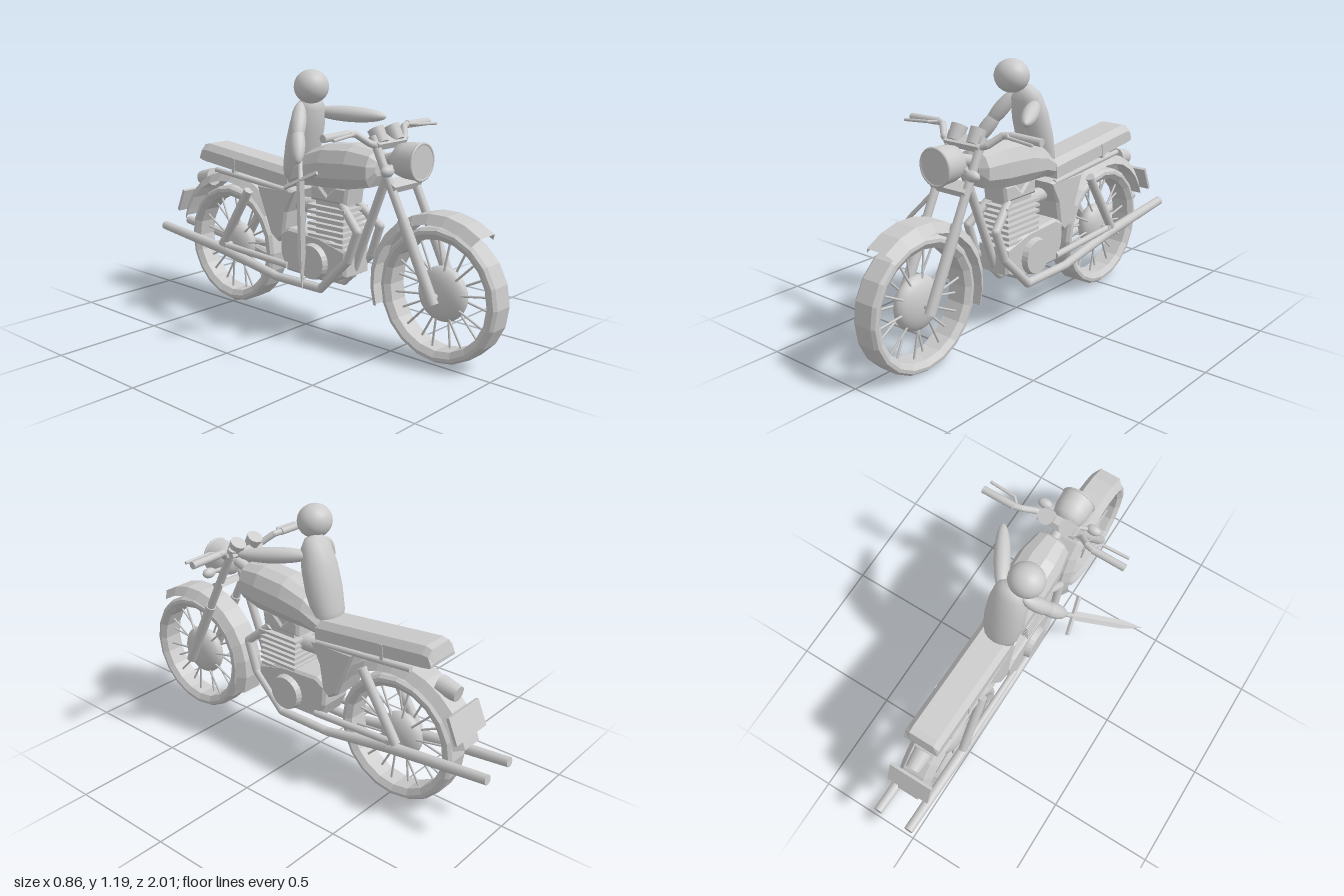
import * as THREE from 'three';

const flat = new THREE.MeshStandardMaterial({ color: 0xcccccc, flatShading: true, side: THREE.DoubleSide });
const smooth = new THREE.MeshStandardMaterial({ color: 0xcccccc, side: THREE.DoubleSide });
const V = (x, y, z) => new THREE.Vector3(x, y, z);
const UP = V(0, 1, 0);

function add(parent, name, geo, mat = flat, pos = [0, 0, 0], rot = [0, 0, 0]) {
  const m = new THREE.Mesh(geo, mat);
  m.name = name;
  m.position.set(...pos);
  m.rotation.set(...rot);
  parent.add(m);
  return m;
}

// Stand a y-aligned mesh between two points
function between(m, a, b) {
  m.position.copy(a).lerp(b, 0.5);
  m.quaternion.setFromUnitVectors(UP, b.clone().sub(a).normalize());
  return m;
}
const rod = (parent, name, a, b, r, r2 = r) =>
  between(add(parent, name, new THREE.CylinderGeometry(r2, r, a.distanceTo(b), 12), smooth), a, b);
function ellipsoid(parent, name, a, b, r) {
  const m = between(add(parent, name, new THREE.SphereGeometry(1, 20, 14), smooth), a, b);
  m.scale.set(r, a.distanceTo(b) / 2, r);
  return m;
}
function pipe(parent, name, pts, r) {
  const path = new THREE.CurvePath();
  for (let i = 1; i < pts.length; i++) path.add(new THREE.LineCurve3(pts[i - 1], pts[i]));
  pts.slice(1, -1).forEach((p) => add(parent, name + 'Bend', new THREE.SphereGeometry(r, 12, 8), smooth, p.toArray()));
  path.curves.forEach((c) => rod(parent, name, c.v1, c.v2, r));
}

// Skin a row of cross-sections; closed sections also get end caps
function loft(sections, closed = true) {
  const n = sections[0].length, idx = [], last = (sections.length - 1) * n;
  for (let s = 0; s < sections.length - 1; s++)
    for (let i = 0; i < (closed ? n : n - 1); i++) {
      const a = s * n + i, b = s * n + ((i + 1) % n);
      idx.push(a, b, a + n, b, b + n, a + n);
    }
  if (closed) for (let i = 1; i < n - 1; i++) idx.push(0, i + 1, i, last, last + i, last + i + 1);
  const g = new THREE.BufferGeometry();
  g.setAttribute('position', new THREE.Float32BufferAttribute(sections.flat(2), 3));
  g.setIndex(idx);
  g.computeVertexNormals();
  return g;
}

// Side outline in (z, y), given a width across x
function slab(pts, width, bevel = 0.012) {
  const g = new THREE.ExtrudeGeometry(new THREE.Shape(pts.map(([z, y]) => new THREE.Vector2(-z, y))), {
    depth: width - 2 * bevel, bevelThickness: bevel, bevelSize: bevel, bevelOffset: -bevel, bevelSegments: 1,
  });
  return g.translate(0, 0, -width / 2 + bevel).rotateY(Math.PI / 2);
}

function wheel(parent, name, z, hubR) {
  const g = new THREE.Group();
  g.name = name;
  g.position.set(0, 0.292, z);
  parent.add(g);
  const profile = [[0.24, -0.045], [0.265, -0.062], [0.28, -0.06], [0.291, -0.045], [0.291, 0.045],
    [0.28, 0.06], [0.265, 0.062], [0.24, 0.045], [0.24, -0.045]].map((p) => new THREE.Vector2(...p));
  add(g, 'tyre', new THREE.LatheGeometry(profile, 20), flat, [0, 0, 0], [0, 0, -Math.PI / 2]);
  add(g, 'hub', new THREE.SphereGeometry(hubR, 24, 12), smooth).scale.x = 0.055 / hubR;
  rod(g, 'axle', V(-0.1, 0, 0), V(0.1, 0, 0), 0.013);
  for (let i = 0; i < 20; i++) {
    const a = (i + 0.5) * Math.PI / 10, s = i % 2 ? 0.022 : -0.022;
    rod(g, 'spoke', V(s, 0.08 * Math.sin(a), 0.08 * Math.cos(a)), V(s / 2, 0.245 * Math.sin(a), 0.245 * Math.cos(a)), 0.005);
  }
}

function fender(parent, name, z, r, from, to) {
  const rows = [];
  for (let i = 0; i <= 10; i++) {
    const a = THREE.MathUtils.degToRad(from + (to - from) * i / 10);
    rows.push([[-0.08, r - 0.04], [-0.052, r], [0.052, r], [0.08, r - 0.04]]
      .map(([x, q]) => [x, 0.292 + q * Math.sin(a), z + q * Math.cos(a)]));
  }
  add(parent, name, loft(rows, false));
}

function buildBike(bike) {
  wheel(bike, 'frontWheel', 0.715, 0.12);
  wheel(bike, 'rearWheel', -0.52, 0.105);
  fender(bike, 'frontFender', 0.715, 0.347, 54, 199);
  fender(bike, 'rearFender', -0.52, 0.36, 35, 166);

  // Tank: chamfered sections along z as [z, bottom, top, half width]
  add(bike, 'tank', loft([[0.385, 0.75, 0.82, 0.05], [0.36, 0.70, 0.855, 0.085], [0.25, 0.68, 0.873, 0.105],
    [0.1, 0.67, 0.86, 0.105], [-0.02, 0.665, 0.815, 0.095], [-0.11, 0.65, 0.74, 0.08]].map(([z, b, t, w]) => {
    const h = t - b;
    return [[-w * 0.7, b], [-w, b + h * 0.25], [-w, b + h * 0.6], [-w * 0.75, b + h * 0.88], [-w * 0.3, t],
      [w * 0.3, t], [w * 0.75, b + h * 0.88], [w, b + h * 0.6], [w, b + h * 0.25], [w * 0.7, b]].map(([x, y]) => [x, y, z]);
  })));

  // Seat with strap
  add(bike, 'seat', loft([[-0.1, 0.64, 0.725], [-0.66, 0.695, 0.782], [-0.69, 0.70, 0.775], [-0.705, 0.705, 0.72]].map(([z, b, t]) =>
    [[-0.085, b], [-0.085, t - (t - b) * 0.35], [-0.06, t], [0.06, t], [0.085, t - (t - b) * 0.35], [0.085, b]].map(([x, y]) => [x, y, z]))));
  add(bike, 'seatStrap', new THREE.BoxGeometry(0.176, 0.07, 0.015), flat, [0, 0.697, -0.46], [0.1, 0, 0]);

  // Engine
  add(bike, 'crankcase', slab([[0.25, 0.4], [0.1, 0.44], [-0.1, 0.45], [-0.155, 0.42], [-0.15, 0.32], [-0.115, 0.245], [0.16, 0.235], [0.25, 0.28]], 0.17));
  for (const s of [-1, 1])
    add(bike, 'engineCover', new THREE.CylinderGeometry(0.078, 0.088, 0.04, 24), flat, [s * 0.093, 0.322, 0.065], [0, 0, -s * Math.PI / 2]);
  add(bike, 'cylinder', new THREE.BoxGeometry(0.11, 0.27, 0.16), flat, [0, 0.535, 0.13]);
  for (let i = 0; i < 7; i++)
    add(bike, 'coolingFin', new THREE.BoxGeometry(0.165, 0.013, 0.205 + i * 0.003), flat, [0, 0.415 + i * 0.027, 0.13]);
  add(bike, 'cylinderHead', slab([[0.23, 0.6], [0.02, 0.6], [0.02, 0.67], [0.07, 0.68], [0.12, 0.635], [0.17, 0.68], [0.24, 0.68]], 0.13));
  rod(bike, 'carburettor', V(0, 0.555, 0.03), V(0, 0.555, -0.1), 0.04, 0.033);
  add(bike, 'sidePanels', slab([[-0.06, 0.628], [-0.31, 0.628], [-0.22, 0.4], [-0.17, 0.37], [-0.135, 0.4], [-0.115, 0.52]], 0.165));
  rod(bike, 'backbone', V(0, 0.84, 0.46), V(0, 0.66, -0.1), 0.025);
  rod(bike, 'downTube', V(0, 0.8, 0.43), V(0, 0.27, 0.22), 0.02);

  for (const s of [-1, 1]) {
    const x = s * 0.083;
    // Fork, shock, frame rails and exhaust
    rod(bike, 'forkLeg', V(x, 0.265, 0.725), V(x, 0.6, 0.56), 0.024);
    rod(bike, 'forkTube', V(x, 0.6, 0.56), V(x, 0.93, 0.395), 0.019);
    rod(bike, 'rearShock', V(x, 0.59, -0.36), V(x, 0.29, -0.55), 0.022);
    rod(bike, 'swingArm', V(x, 0.27, -0.1), V(x, 0.29, -0.53), 0.016);
    rod(bike, 'seatRail', V(x * 0.85, 0.62, -0.1), V(x * 0.85, 0.66, -0.6), 0.013);
    pipe(bike, 'exhaustHeader', [V(s * 0.05, 0.6, 0.2), V(x * 0.95, 0.5, 0.315), V(x, 0.36, 0.265), V(x, 0.2, 0.105), V(x, 0.2, -0.18)], 0.02);
    rod(bike, 'muffler', V(x, 0.2, -0.17), V(x, 0.262, -0.52), 0.02, 0.026);
    rod(bike, 'muffler', V(x, 0.262, -0.52), V(x, 0.312, -1), 0.026, 0.022);
    // Indicators, dials and handlebar
    rod(bike, 'indicatorStalk', V(s * 0.06, 0.81, 0.48), V(s * 0.12, 0.8, 0.51), 0.01);
    add(bike, 'indicator', new THREE.SphereGeometry(1, 16, 10), smooth, [s * 0.127, 0.8, 0.51]).scale.set(0.036, 0.024, 0.024);
    rod(bike, 'dial', V(s * 0.053, 0.9, 0.42), V(s * 0.053, 0.958, 0.385), 0.032, 0.037);
    pipe(bike, 'handlebar', [V(0, 0.892, 0.42), V(s * 0.085, 0.892, 0.42), V(s * 0.12, 0.905, 0.41), V(s * 0.165, 0.945, 0.37), V(s * 0.2, 0.948, 0.36)], 0.015);
    rod(bike, 'grip', V(s * 0.2, 0.948, 0.36), V(s * 0.357, 0.945, 0.36), 0.017);
    pipe(bike, 'lever', [V(s * 0.19, 0.95, 0.37), V(s * 0.22, 0.95, 0.4), V(s * 0.35, 0.942, 0.41)], 0.007);
  }
  for (const [y, z] of [[0.73, 0.495], [0.9, 0.41]])
    add(bike, 'forkClamp', new THREE.BoxGeometry(0.19, 0.03, 0.06), flat, [0, y, z], [0.46, 0, 0]);

  // Headlight bowl with rim and lens
  const bowl = [[0, 0.45], [0.04, 0.455], [0.068, 0.48], [0.078, 0.52], [0.08, 0.585]].map((p) => new THREE.Vector2(...p));
  add(bike, 'headlight', new THREE.LatheGeometry(bowl, 28), smooth, [0, 0.832, 0], [Math.PI / 2, 0, 0]);
  add(bike, 'headlightRim', new THREE.TorusGeometry(0.077, 0.007, 8, 28), smooth, [0, 0.832, 0.59]);
  add(bike, 'headlightLens', new THREE.CylinderGeometry(0.076, 0.076, 0.015, 28), flat, [0, 0.832, 0.587], [Math.PI / 2, 0, 0]);

  // Tail
  rod(bike, 'tailLight', V(0, 0.6, -0.7), V(0, 0.585, -0.79), 0.045, 0.035);
  add(bike, 'numberPlate', new THREE.BoxGeometry(0.215, 0.12, 0.015), flat, [0, 0.475, -0.835], [0.4, 0, 0]);
}

function buildRider(rider) {
  add(rider, 'head', new THREE.SphereGeometry(1, 28, 20), smooth, [0, 1.112, 0.033]).scale.set(0.081, 0.075, 0.076);
  const body = [[0, 0.22], [0.035, 0.212], [0.058, 0.17], [0.07, 0.08], [0.072, -0.02], [0.065, -0.12], [0.05, -0.205], [0, -0.21]]
    .reverse().map((p) => new THREE.Vector2(...p));
  between(add(rider, 'torso', new THREE.LatheGeometry(body, 16), smooth), V(0.055, 0.65, -0.115), V(0.045, 1.06, 0)).scale.x = 1.3;
  ellipsoid(rider, 'leftArm', V(0.085, 0.99, -0.03), V(0.255, 0.972, 0.255), 0.036);
  ellipsoid(rider, 'rightUpperArm', V(-0.015, 1.04, -0.02), V(-0.125, 0.87, 0.06), 0.035);
  ellipsoid(rider, 'rightForearm', V(-0.075, 0.95, 0.02), V(-0.16, 0.795, 0.1), 0.034);

  // Sword: local y runs to the tip, local x along the guard
  const sword = new THREE.Group();
  sword.name = 'sword';
  const hilt = V(-0.18, 0.73, 0.135), tip = V(-0.435, 0.36, 0.385);
  const y = tip.clone().sub(hilt).normalize();
  const z = V(0.04, 0.087, 0.17).cross(y).normalize();
  sword.applyMatrix4(new THREE.Matrix4().makeBasis(y.clone().cross(z), y, z).setPosition(hilt));
  rider.add(sword);
  const length = hilt.distanceTo(tip);
  const ring = (h, w, t) => [[-w, h, 0], [0, h, t], [w, h, 0], [0, h, -t]];
  add(sword, 'blade', loft([ring(0, 0.022, 0.006), ring(length * 0.7, 0.021, 0.005), ring(length, 0.001, 0.001)]));
  add(sword, 'guard', new THREE.BoxGeometry(0.18, 0.016, 0.014));
  rod(sword, 'swordGrip', V(0, -0.1, 0), V(0, 0, 0), 0.011);
}

export function createModel() {
  const model = new THREE.Group();
  model.name = 'motorcycleWithRider';
  const bike = new THREE.Group(), rider = new THREE.Group();
  bike.name = 'motorcycle';
  rider.name = 'rider';
  bike.position.x = 0.068;
  buildBike(bike);
  buildRider(rider);
  model.add(bike, rider);
  return model;
}
